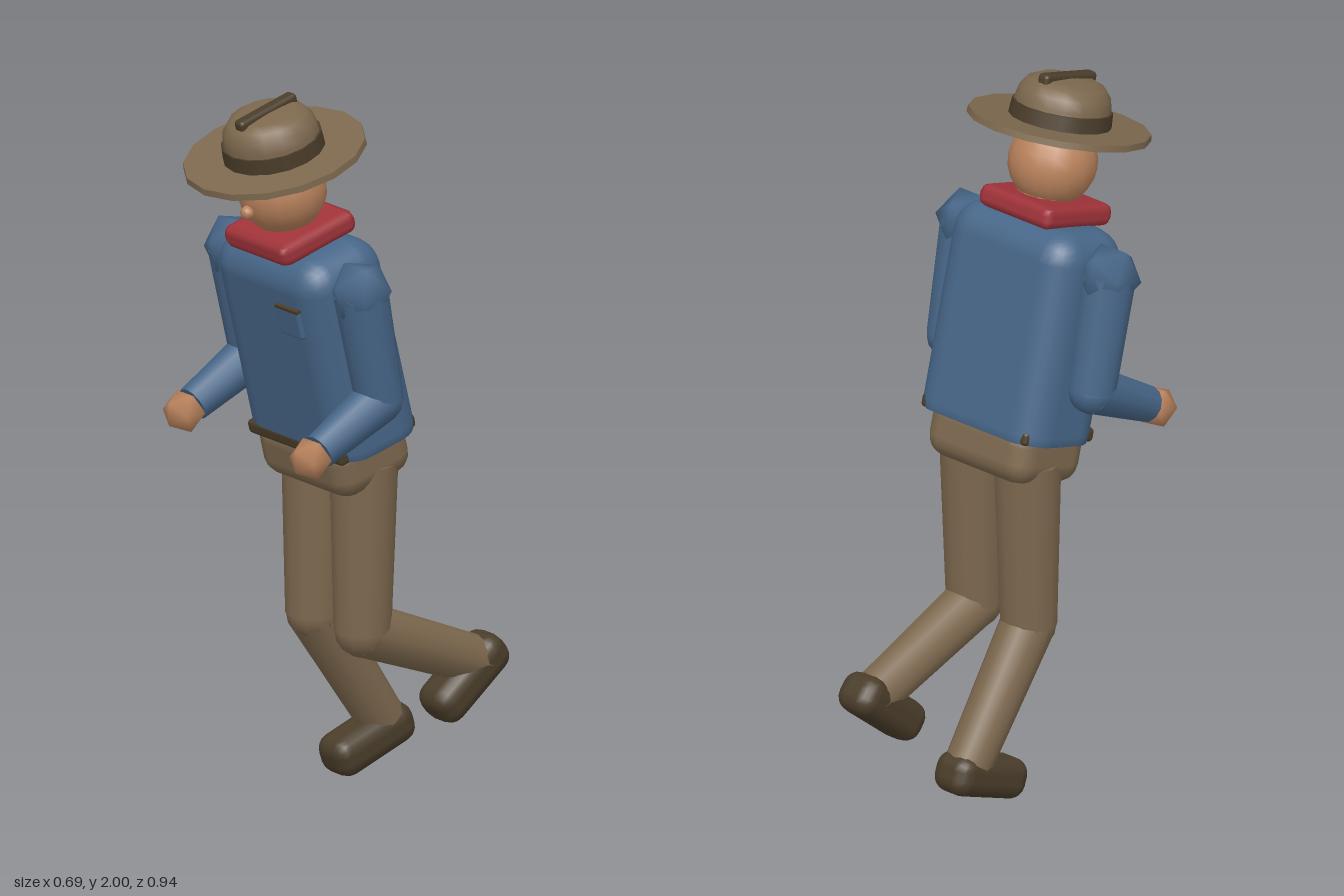
import * as THREE from 'three';
import { RoundedBoxGeometry } from 'three/addons/geometries/RoundedBoxGeometry.js';
import { mergeVertices } from 'three/addons/utils/BufferGeometryUtils.js';

const LEAN = 0.245; // forward tilt of the upper body

function material(name, color) {
  const m = new THREE.MeshStandardMaterial({ color });
  m.name = name;
  return m;
}

export function createModel() {
  const model = new THREE.Group();
  model.name = 'figure';
  const shirt = material('shirt blue', 0x476688);
  const cloth = material('khaki', 0x7d684e);
  const dark = material('dark brown', 0x4a3d2a);
  const skin = material('skin', 0xb9825c);
  const red = material('scarf red', 0xa0333a);

  const add = (name, geometry, mat, pos, tilt = 0, parent = model) => {
    const mesh = new THREE.Mesh(geometry, mat);
    mesh.name = name;
    mesh.position.set(...pos);
    mesh.rotation.x = tilt;
    parent.add(mesh);
    return mesh;
  };
  const box = (w, h, d, r, seg = 2) => new RoundedBoxGeometry(w, h, d, seg, r);

  // Low-poly ball with smooth shading
  const ball = (r) => {
    const g = new THREE.IcosahedronGeometry(r, 0);
    g.deleteAttribute('normal');
    g.deleteAttribute('uv');
    const merged = mergeVertices(g);
    merged.computeVertexNormals();
    return merged;
  };

  // Tapered limb between two points
  const limb = (name, a, b, ra, rb, mat) => {
    const from = new THREE.Vector3(...a), to = new THREE.Vector3(...b);
    const dir = to.clone().sub(from);
    const mesh = add(name, new THREE.CylinderGeometry(rb, ra, dir.length(), 12), mat,
      from.clone().add(to).multiplyScalar(0.5).toArray());
    mesh.quaternion.setFromUnitVectors(new THREE.Vector3(0, 1, 0), dir.normalize());
  };

  // Torso: rounded above, cut flat at the waist
  const torso = box(0.46, 0.655, 0.28, 0.09, 3);
  torso.translate(0, -0.0275, 0);
  const p = torso.attributes.position;
  for (let i = 0; i < p.count; i++) p.setY(i, Math.max(p.getY(i), -0.29));
  add('torso', torso, shirt, [0, 1.31, 0.087], LEAN);
  add('belt', box(0.4, 0.04, 0.27, 0.012), dark, [0, 1.045, 0.028], LEAN);
  add('hips', box(0.38, 0.17, 0.26, 0.06), cloth, [0, 0.985, 0.02], LEAN);

  // Chest pocket with a dark flap edge
  const pocket = new THREE.Group();
  pocket.name = 'pocket';
  pocket.position.set(0.11, 1.405, 0.25);
  pocket.rotation.x = LEAN;
  model.add(pocket);
  add('pocketPatch', box(0.09, 0.085, 0.03, 0.008), shirt, [0, 0, 0], 0, pocket);
  add('pocketEdge', new THREE.BoxGeometry(0.094, 0.009, 0.034), dark, [0, 0.042, 0], 0, pocket);

  // Arms, bent at the elbow
  for (const s of [-1, 1]) {
    const side = s > 0 ? 'left' : 'right';
    const shoulder = [s * 0.268, 1.505, 0.145];
    const elbow = [s * 0.268, 1.19, 0.08];
    const wrist = [s * 0.27, 1.085, 0.29];
    add(side + 'Shoulder', ball(0.09), shirt, shoulder, LEAN);
    limb(side + 'UpperArm', shoulder, elbow, 0.075, 0.066, shirt);
    add(side + 'Elbow', new THREE.SphereGeometry(0.066, 12, 8), shirt, elbow);
    limb(side + 'Forearm', elbow, wrist, 0.066, 0.05, shirt);
    add(side + 'Hand', ball(0.06), skin, [s * 0.27, 1.07, 0.32]);
  }

  // Legs: both thighs upright, shins swept back by different amounts
  const legs = [
    { side: 'right', x: -0.103, ankle: [0.14, -0.225], foot: [0.093, -0.177], tilt: 0.33 },
    { side: 'left', x: 0.103, ankle: [0.315, -0.4], foot: [0.282, -0.347], tilt: 0.66 },
  ];
  for (const { side, x, ankle, foot, tilt } of legs) {
    const knee = [x, 0.485, 0.005];
    limb(side + 'Thigh', [x, 0.96, 0], knee, 0.094, 0.079, cloth);
    add(side + 'Knee', new THREE.SphereGeometry(0.077, 12, 8), cloth, knee);
    limb(side + 'Shin', knee, [x, ...ankle], 0.076, 0.066, cloth);
    add(side + 'Boot', box(0.132, 0.115, 0.275, 0.045), dark, [x, ...foot], tilt);
  }

  // Neck, scarf and head
  limb('neck', [0, 1.55, 0.145], [0, 1.68, 0.18], 0.08, 0.08, skin);
  add('scarf', box(0.27, 0.065, 0.262, 0.025, 1), red, [0, 1.623, 0.172], LEAN);
  add('head', new THREE.SphereGeometry(0.122, 16, 12), skin, [0, 1.742, 0.2], LEAN);
  add('nose', new THREE.SphereGeometry(0.02, 8, 6), skin, [0, 1.697, 0.319]);

  // Hat
  const hat = new THREE.Group();
  hat.name = 'hat';
  hat.position.set(0, 1.845, 0.225);
  hat.rotation.x = LEAN;
  model.add(hat);
  const profile = [[0.135, 0], [0.132, 0.06], [0.125, 0.09], [0.108, 0.113], [0.08, 0.126], [0, 0.132]]
    .map(([r, y]) => new THREE.Vector2(r, y));
  add('brim', new THREE.CylinderGeometry(0.25, 0.252, 0.018, 16), cloth, [0, 0, 0], 0, hat);
  add('crown', new THREE.LatheGeometry(profile, 16), cloth, [0, 0, 0], 0, hat);
  add('hatBand', new THREE.CylinderGeometry(0.138, 0.141, 0.042, 16), dark, [0, 0.03, 0], 0, hat);
  add('crownRidge', box(0.038, 0.034, 0.2, 0.012), dark, [0, 0.126, 0], 0, hat);

  return model;
}
